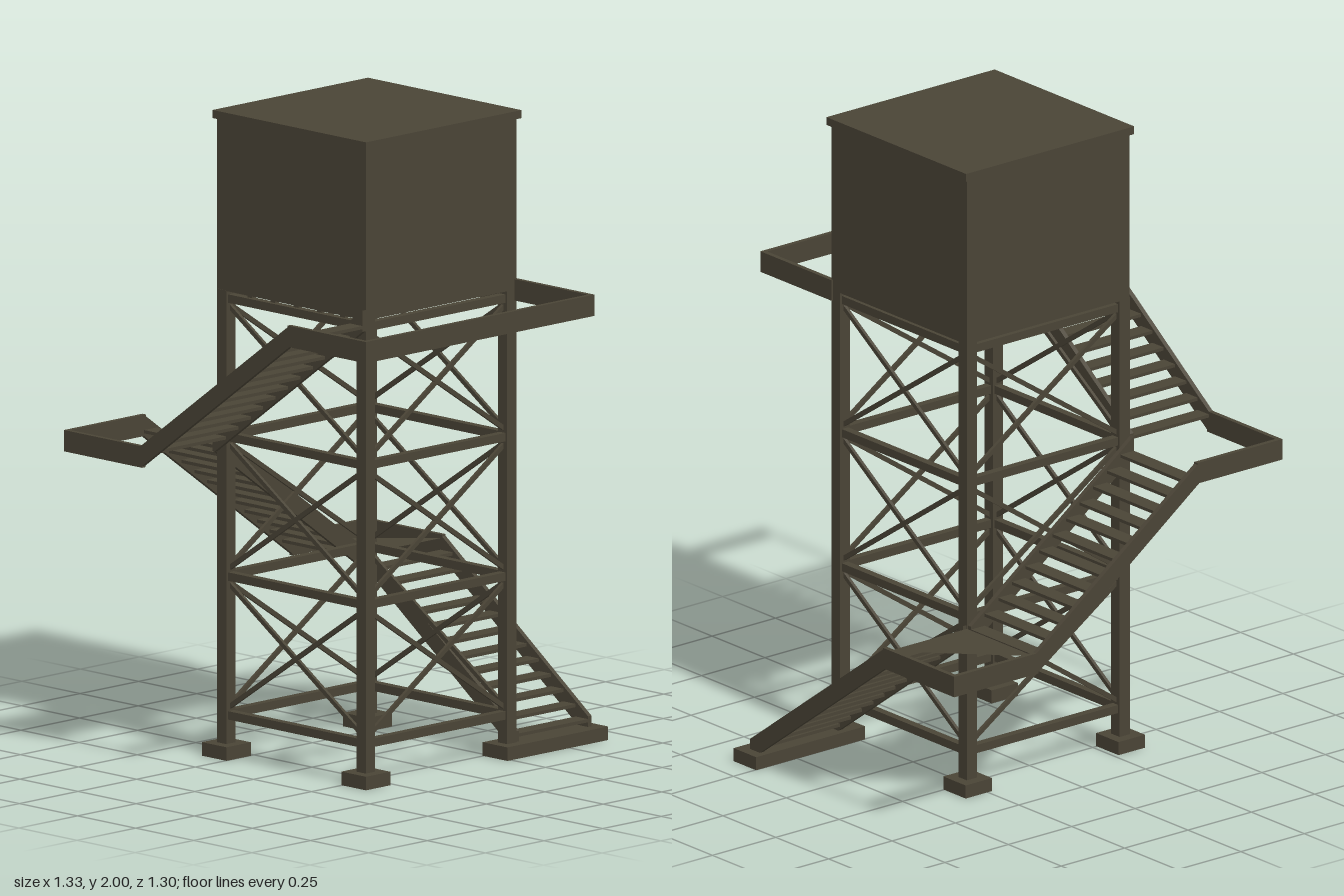
import * as THREE from 'three';

export function createModel() {
  const model = new THREE.Group();
  const steel = new THREE.MeshStandardMaterial({ color: 0x4a4436 });
  steel.name = 'dark olive steel';
  const plate = new THREE.MeshStandardMaterial({ color: 0x4a4436, side: THREE.DoubleSide });
  plate.name = 'dark olive plate';

  const part = (name) => {
    const g = new THREE.Group();
    g.name = name;
    model.add(g);
    return g;
  };

  function add(parent, name, geometry, material = steel) {
    const mesh = new THREE.Mesh(geometry, material);
    mesh.name = name;
    parent.add(mesh);
    return mesh;
  }

  // Box given by its minimum and maximum corners
  function block(parent, name, x0, x1, y0, y1, z0, z1) {
    add(parent, name, new THREE.BoxGeometry(x1 - x0, y1 - y0, z1 - z0))
      .position.set((x0 + x1) / 2, (y0 + y1) / 2, (z0 + z1) / 2);
  }

  // Bar between two points with upright ends; sloped bars are sheared
  function bar(parent, name, a, b, w, h, extend = 0) {
    const dx = b[0] - a[0], dy = b[1] - a[1], dz = b[2] - a[2];
    const run = Math.hypot(dx, dz);
    const g = new THREE.BoxGeometry(run + extend, h, w);
    const p = g.attributes.position;
    for (let i = 0; i < p.count; i++) p.setY(i, p.getY(i) + p.getX(i) * dy / run);
    g.rotateY(Math.atan2(-dz, dx));
    g.computeVertexNormals();
    add(parent, name, g).position.set((a[0] + b[0]) / 2, (a[1] + b[1]) / 2, (a[2] + b[2]) / 2);
  }

  // Cabin and roof
  block(model, 'cabin', -0.337, 0.305, 1.445, 1.98, -0.32, 0.32);
  block(model, 'roof', -0.347, 0.316, 1.975, 2, -0.33, 0.33);

  // Tower legs and footings
  const XL = -0.318, XR = 0.285, Z = 0.3;
  const corners = [[XL, Z], [XR, Z], [XR, -Z], [XL, -Z]];
  const legs = part('legs');
  const footings = part('footings');
  for (const [x, z] of corners) {
    block(legs, 'leg', x - 0.02, x + 0.02, 0.03, 1.447, z - 0.02, z + 0.02);
    block(footings, 'footing', x - 0.052, x + 0.052, 0, 0.042, z - 0.053, z + 0.053);
  }
  block(footings, 'stairFooting', 0.3, 0.663, 0, 0.042, 0.247, 0.353);

  // Horizontal girts and cross braces on all four sides
  const frame = part('bracing');
  const levels = [0.13, 0.56, 0.992, 1.421];
  corners.forEach(([x0, z0], i) => {
    const [x1, z1] = corners[(i + 1) % 4];
    levels.forEach((y, k) => {
      bar(frame, 'girt', [x0, y, z0], [x1, y, z1], 0.025, 0.026);
      if (k === 3) return;
      const top = levels[k + 1] - 0.015, low = y + 0.015;
      bar(frame, 'brace', [x0, low, z0], [x1, top, z1], 0.01, 0.017, -0.03);
      bar(frame, 'brace', [x0, top, z0], [x1, low, z1], 0.01, 0.017, -0.03);
    });
  });

  // Floor joists under the cabin
  for (let i = 1; i < 6; i++) {
    const z = -Z + i * 0.1;
    block(frame, 'joist', XL, XR, 1.434, 1.446, z - 0.01, z + 0.01);
  }

  // Continuous outer stringer climbing round the tower
  const L0 = 0.042, L1 = 0.509, L2 = 0.975, L3 = 1.445;
  const W = 0.015, H = 0.066;
  const stringers = part('stringers');
  const outer = [
    [0.622, L0, 0.315], [0.622, L1, -0.32], [0.622, L1, -0.642], [0.305, L1, -0.642],
    [-0.337, L2, -0.642], [-0.657, L2, -0.642], [-0.657, L2, -0.32], [-0.657, L3, 0.32],
    [-0.657, L3, 0.642], [0.303, L3, 0.642], [0.303, L3, 0.32],
  ];
  for (let i = 0; i + 1 < outer.length; i++) {
    const flat = outer[i][1] === outer[i + 1][1];
    bar(stringers, 'outerStringer', outer[i], outer[i + 1], W, H, flat ? W : 0);
  }

  // Flights: inner stringer and treads
  const flights = [
    { inner: [[0.313, L0, 0.315], [0.313, L1, -0.32]], out: [0.309, 0] },
    { inner: [[0.305, L1, -0.333], [-0.337, L2, -0.333]], out: [0, -0.309] },
    { inner: [[-0.345, L2, -0.32], [-0.345, L3, 0.32]], out: [-0.312, 0] },
  ];
  const treads = part('treads');
  const STEPS = 12;
  for (const { inner: [a, b], out: [ox, oz] } of flights) {
    bar(stringers, 'innerStringer', a, b, W, H);
    const depth = Math.hypot(b[0] - a[0], b[2] - a[2]) / STEPS;
    for (let i = 0; i < STEPS; i++) {
      const t = (i + 0.5) / STEPS;
      const tread = add(treads, 'tread', new THREE.BoxGeometry(
        Math.abs(ox) || depth, 0.01, Math.abs(oz) || depth));
      tread.position.set(
        a[0] + (b[0] - a[0]) * t + ox / 2,
        a[1] + (b[1] - a[1]) * t,
        a[2] + (b[2] - a[2]) * t + oz / 2);
    }
  }

  // Triangular plate on the first landing
  const corner = new THREE.Shape([
    new THREE.Vector2(0.305, 0.32), new THREE.Vector2(0.617, 0.32), new THREE.Vector2(0.305, 0.637),
  ]);
  const floor = new THREE.ShapeGeometry(corner);
  floor.rotateX(-Math.PI / 2);
  add(model, 'landingPlate', floor, plate).position.y = 0.53;

  return model;
}
